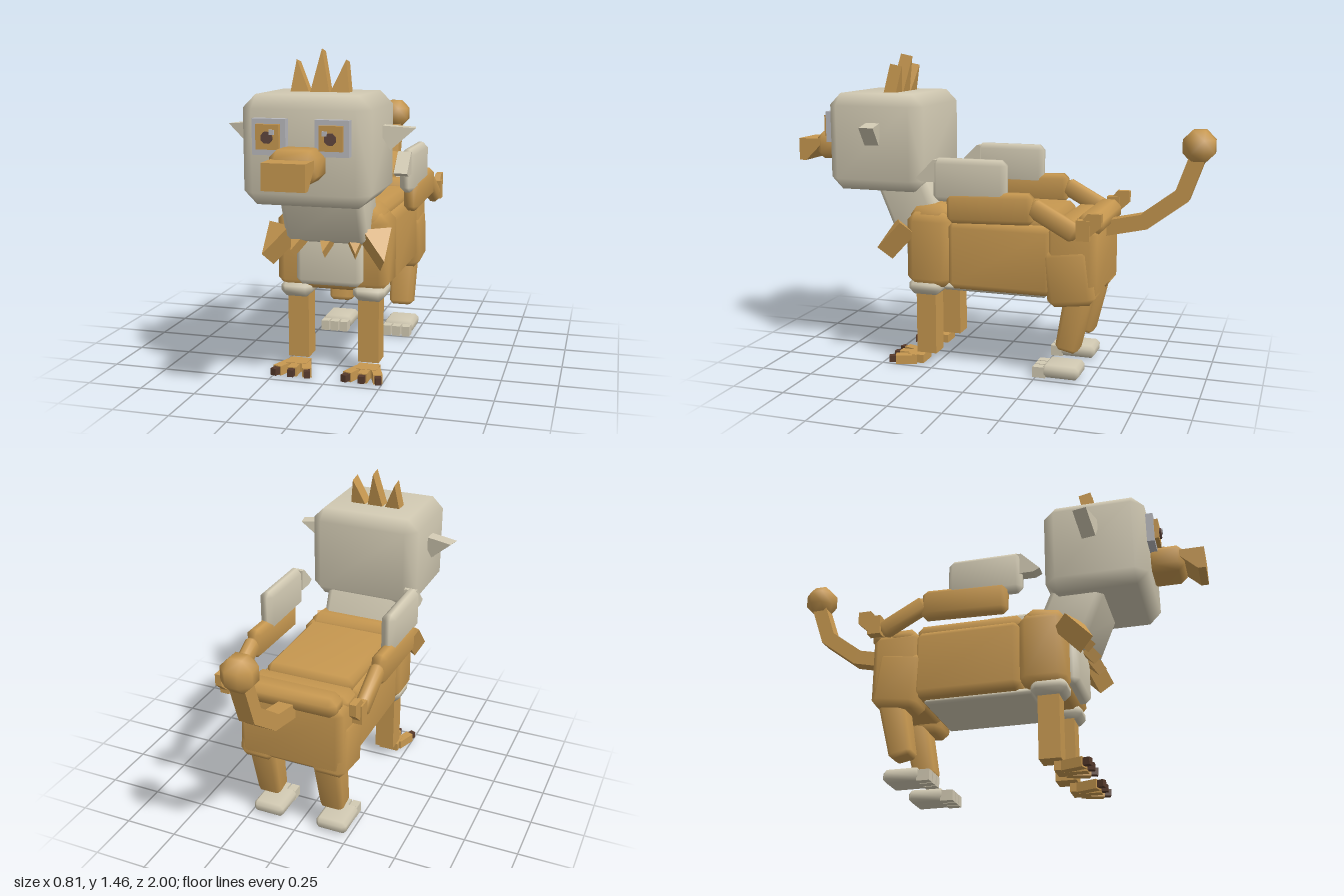
import * as THREE from 'three';
import { mergeVertices } from 'three/addons/utils/BufferGeometryUtils.js';
import { ConvexGeometry } from 'three/addons/geometries/ConvexGeometry.js';

const material = (name, color) => Object.assign(new THREE.MeshStandardMaterial({ color }), { name });

// Box with one smooth-shaded chamfer; taper scales the top in x and z
function chamferBox(w, h, d, b, taper = 1) {
  const points = [];
  for (const x of [-1, 1]) for (const y of [-1, 1]) for (const z of [-1, 1]) {
    for (const axis of [0, 1, 2]) {
      const half = [w / 2, h / 2, d / 2].map((v, i) => (i === axis ? v : v - b));
      const k = y > 0 ? taper : 1;
      points.push(new THREE.Vector3(x * half[0] * k, y * half[1], z * half[2] * k));
    }
  }
  let geometry = new ConvexGeometry(points);
  geometry.deleteAttribute('normal');
  geometry = mergeVertices(geometry);
  geometry.computeVertexNormals();
  return geometry;
}

// Flat outline extruded and centred in depth
function prism(outline, depth) {
  const shape = new THREE.Shape(outline.map(([x, y]) => new THREE.Vector2(x, y)));
  return new THREE.ExtrudeGeometry(shape, { depth, bevelEnabled: false }).translate(0, 0, -depth / 2);
}

export function createModel() {
  const model = new THREE.Group();
  model.name = 'winged beast';
  const gold = material('gold', 0xc79850);
  const cream = material('cream', 0xd2cab3);
  const grey = material('pale grey', 0xb9b9bd);
  const pupilBrown = material('pupil brown', 0x60463e);
  const clawBrown = material('claw brown', 0x573a2c);

  function add(name, geometry, mat, [x, y, z], [rx, ry, rz] = [0, 0, 0]) {
    const mesh = new THREE.Mesh(geometry, mat);
    mesh.name = name;
    mesh.position.set(x, y, z);
    mesh.rotation.set(rx, ry, rz);
    model.add(mesh);
    return mesh;
  }
  // Box by size and centre, chamfered when b > 0
  function box(name, mat, [w, h, d], pos, b = 0, rot, taper) {
    const geometry = b ? chamferBox(w, h, d, b, taper) : new THREE.BoxGeometry(w, h, d);
    return add(name, geometry, mat, pos, rot);
  }

  // Trunk
  box('body', gold, [0.5, 0.32, 0.5], [0, 0.55, -0.08], 0.03);
  box('backPad', gold, [0.42, 0.1, 0.5], [0, 0.71, -0.08], 0.025);
  box('belly', cream, [0.38, 0.03, 0.5], [0, 0.385, -0.04], 0.01);
  box('chest', gold, [0.51, 0.35, 0.22], [0, 0.565, 0.265], 0.04);
  box('shoulderRidge', gold, [0.45, 0.12, 0.19], [0, 0.71, 0.27], 0.035, [0.15, 0, 0]);
  box('bib', cream, [0.3, 0.23, 0.08], [0, 0.535, 0.375], 0.025);
  box('hips', gold, [0.5, 0.33, 0.23], [0, 0.55, -0.415], 0.03);
  box('rump', gold, [0.45, 0.1, 0.12], [0, 0.725, -0.49], 0.03);
  box('rumpFront', gold, [0.48, 0.08, 0.13], [0, 0.7, -0.39], 0.025);

  // Neck and ruff
  box('neck', cream, [0.37, 0.29, 0.24], [0, 0.79, 0.395], 0.03, [0.4, 0, 0]);
  for (const i of [-2, -1, 0, 1, 2]) {
    const side = Math.abs(i) === 2;
    const w = side ? 0.065 : 0.033, len = side ? 0.16 : 0.085;
    add('ruffFeather', prism([[-w, 0], [w, 0], [0, -len]], side ? 0.09 : 0.05), gold,
      [[0, 0.125, 0.205][Math.abs(i)] * Math.sign(i), side ? 0.665 : 0.64, side ? 0.385 : 0.42],
      [-0.75, i * 0.18, i * 0.18]);
  }

  // Head, beak and crest
  box('head', cream, [0.54, 0.45, 0.47], [0, 1.055, 0.522], 0.055);
  box('beak', gold, [0.195, 0.13, 0.17], [0, 1.015, 0.822], 0.03);
  add('beakTip', prism([[-0.85, 1.045], [-1, 1.045], [-1, 0.938], [-0.965, 0.938], [-0.88, 1.02]], 0.175),
    gold, [0, 0, 0], [0, Math.PI / 2, 0]);
  for (const [x, lean, height] of [[-0.085, -0.022, 0.145], [0, 0, 0.19], [0.085, 0.022, 0.145]]) {
    add('crestSpike', prism([[-0.043, 0], [0.043, 0], [lean, height]], 0.06), gold,
      [x, 1.265, 0.495], [-0.2, 0, 0]);
  }

  // Tail
  const tail = [[0.675, -0.5], [0.72, -0.7], [0.845, -0.865], [1.03, -0.93]];
  for (let i = 0; i < 3; i++) {
    const [y0, z0] = tail[i], [y1, z1] = tail[i + 1];
    box('tailSegment', gold, [0.07, Math.hypot(y1 - y0, z1 - z0) + 0.02, 0.07],
      [0, (y0 + y1) / 2, (z0 + z1) / 2], 0, [Math.atan2(z1 - z0, y1 - y0), 0, 0]);
  }
  box('tailTuft', gold, [0.14, 0.145, 0.14], [0, 1.068, -0.93], 0.042);

  // Mirrored parts
  for (const s of [-1, 1]) {
    // Eyes
    box('eyePlate', grey, [0.14, 0.145, 0.035], [s * 0.13, 1.118, 0.773]);
    box('iris', gold, [0.096, 0.1, 0.02], [s * 0.13, 1.12, 0.8]);
    add('pupil', new THREE.CylinderGeometry(0.025, 0.025, 0.009, 8), pupilBrown,
      [s * 0.13, 1.118, 0.814], [Math.PI / 2, Math.PI / 8, 0]);
    box('eyeGlint', grey, [0.02, 0.02, 0.008], [s * 0.108, 1.14, 0.819]);

    // Ear
    add('ear', prism([[0, 0.05], [0.135, 0.04], [0.032, -0.05], [0, 0]].map(([x, y]) => [s * x, y]), 0.065),
      cream, [s * 0.268, 1.1, 0.515], [0, s * 0.2, 0]);

    // Wing, folded back along the flank
    box('wingShoulder', cream, [0.068, 0.195, 0.345], [s * 0.302, 0.912, 0.03], 0.024);
    add('wingPoint', prism([[-0.18, 1], [-0.2, 1], [-0.285, 0.915], [-0.255, 0.9], [-0.18, 0.9]], 0.06),
      cream, [s * 0.292, 0, 0], [0, Math.PI / 2, 0]);
    box('wingMiddle', gold, [0.072, 0.14, 0.4], [s * 0.308, 0.795, -0.065], 0.022, [0.03, 0, 0]);
    box('wingOuter', gold, [0.06, 0.085, 0.24], [s * 0.308, 0.757, -0.355], 0.018, [-0.5, 0, 0]);
    box('wingFeather', gold, [0.045, 0.09, 0.06], [s * 0.318, 0.725, -0.49]);
    add('wingFeatherTip', prism([[0.47, 0.75], [0.51, 0.8], [0.57, 0.8], [0.57, 0.745], [0.51, 0.69]], 0.03),
      gold, [s * 0.318, 0, 0], [0, Math.PI / 2, 0]);

    // Front leg with clawed foot
    box('frontLegCuff', cream, [0.145, 0.075, 0.16], [s * 0.168, 0.385, 0.29], 0.025);
    box('frontLeg', gold, [0.096, 0.34, 0.096], [s * 0.163, 0.23, 0.287]);
    box('frontPaw', gold, [0.1, 0.04, 0.08], [s * 0.163, 0.025, 0.345]);
    for (const t of [-1, 0, 1]) {
      const x = s * 0.163 + t * 0.053;
      box('frontToe', gold, [0.042, 0.043, 0.1], [x, 0.022, 0.39], 0, [0, t * 0.35, 0]);
      box('frontClaw', clawBrown, [0.028, 0.032, 0.04], [x + t * 0.02, 0.023, 0.448], 0, [0, t * 0.35, 0]);
    }

    // Hind leg with flat foot
    box('haunch', gold, [0.17, 0.26, 0.22], [s * 0.175, 0.485, -0.405], 0.03, [0.13, 0, 0]);
    box('hindLeg', gold, [0.115, 0.27, 0.105], [s * 0.16, 0.265, -0.415], 0.018, [-0.2, 0, 0], 1.15);
    box('hindFoot', cream, [0.15, 0.06, 0.17], [s * 0.162, 0.038, -0.37], 0.016);
    for (const t of [-1, 0, 1]) {
      box('hindToe', cream, [0.04, 0.05, 0.06], [s * 0.162 + t * 0.048, 0.03, -0.27]);
    }
  }
  return model;
}
